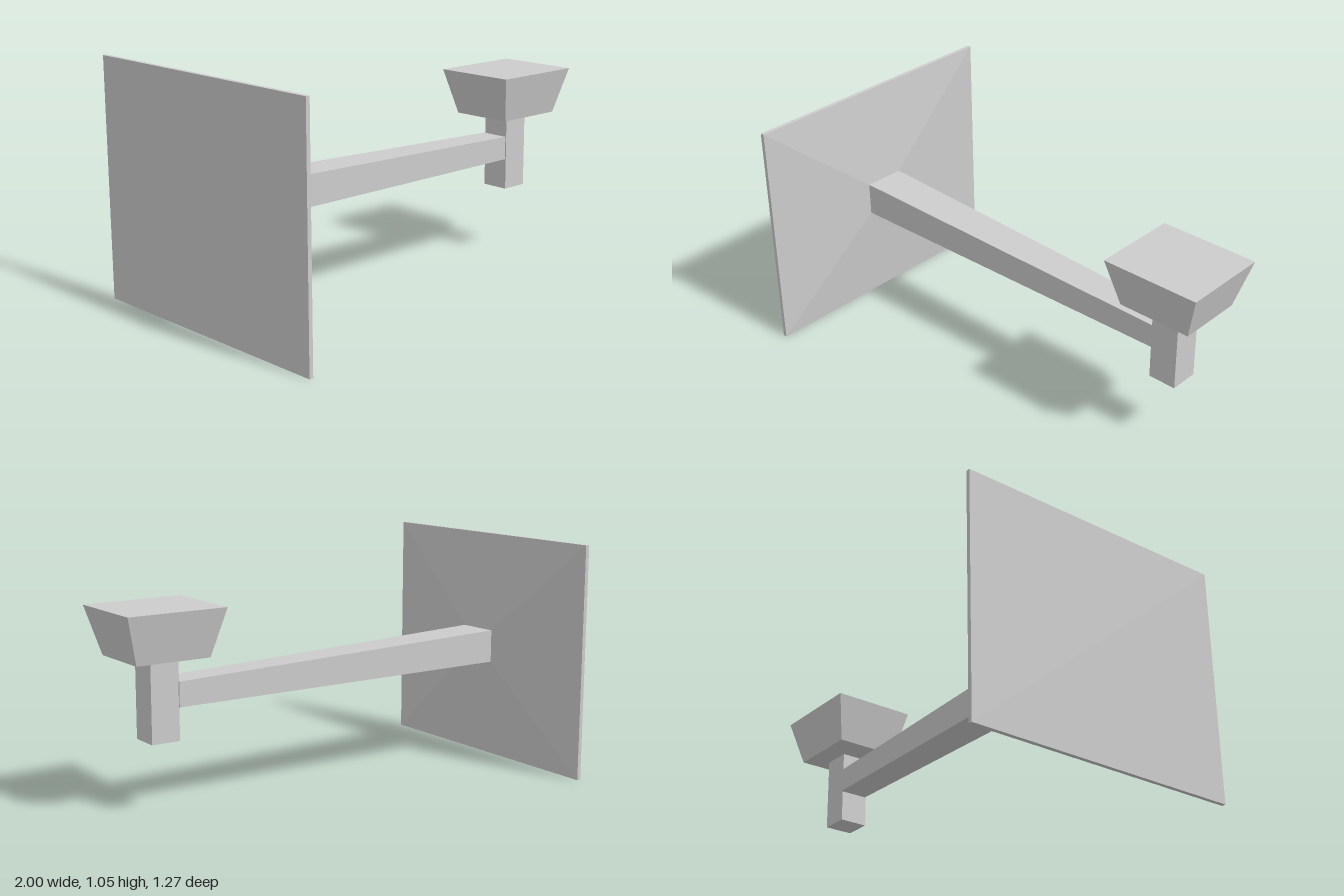
import * as THREE from 'three';

const material = new THREE.MeshStandardMaterial({ color: 0xcccccc, flatShading: true });

// Closed solid through rectangular sections [t, u0, u1, v0, v1] of rising t.
// place(t, u, v) gives the point; (u, v, t) must map to a right-handed frame.
function rectLoft(name, sections, place) {
  const positions = [];
  const index = [];
  for (const [t, u0, u1, v0, v1] of sections) {
    for (const [u, v] of [[u0, v0], [u1, v0], [u1, v1], [u0, v1]]) positions.push(...place(t, u, v));
  }
  for (let s = 0; s < sections.length - 1; s++) {
    for (let i = 0; i < 4; i++) {
      const a = s * 4 + i, b = s * 4 + (i + 1) % 4;
      index.push(a, b, b + 4, a, b + 4, a + 4);
    }
  }
  const e = (sections.length - 1) * 4;
  index.push(0, 2, 1, 0, 3, 2, e, e + 1, e + 2, e, e + 2, e + 3);
  const indexed = new THREE.BufferGeometry();
  indexed.setAttribute('position', new THREE.Float32BufferAttribute(positions, 3));
  indexed.setIndex(index);
  const geometry = indexed.toNonIndexed();
  geometry.computeVertexNormals();
  const mesh = new THREE.Mesh(geometry, material);
  mesh.name = name;
  return mesh;
}

const alongX = (t, y, z) => [t, y, z];
const alongY = (t, z, x) => [x, t, z];

export function createModel() {
  const model = new THREE.Group();
  model.name = 'wallBracketLamp';

  // Wall plate: thin rim, then a shallow pyramid rising to the arm
  model.add(rectLoft('wallPlate', [
    [-1, 0, 1.05, -0.633, 0.633],
    [-0.982, 0, 1.05, -0.633, 0.633],
    [-0.94, 0.455, 0.604, -0.088, 0.1],
  ], alongX));

  // Tapering arm
  model.add(rectLoft('arm', [
    [-0.94, 0.455, 0.604, -0.088, 0.1],
    [0.712, 0.449, 0.556, -0.062, 0.07],
  ], alongX));

  // Upright post at the end of the arm
  model.add(rectLoft('post', [
    [0.308, -0.055, 0.075, 0.71, 0.838],
    [0.64, -0.055, 0.075, 0.71, 0.838],
  ], alongY));

  // Flared head: shallow underside, sloping walls, flat top
  model.add(rectLoft('head', [
    [0.64, -0.055, 0.075, 0.71, 0.838],
    [0.656, -0.136, 0.156, 0.608, 0.942],
    [0.862, -0.185, 0.203, 0.554, 1],
  ], alongY));

  return model;
}
